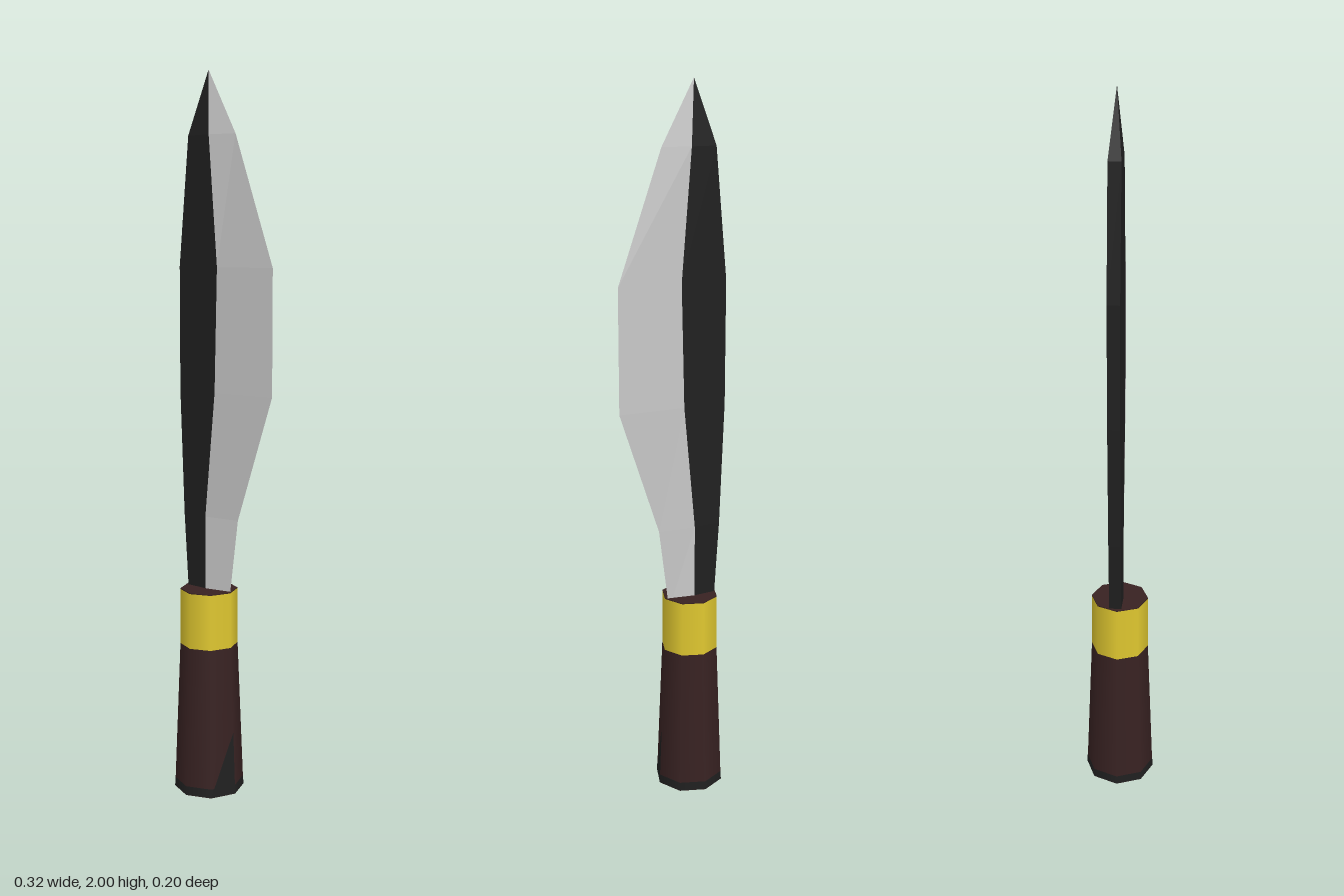
import * as THREE from 'three';

const mat = (name, color, side = THREE.FrontSide) => {
  const m = new THREE.MeshStandardMaterial({ color, side });
  m.name = name;
  return m;
};

export function createModel() {
  const steel = mat('pale steel', 0xc8c8c8);
  const black = mat('black', 0x202020);
  const brass = mat('yellow brass', 0xe0c830);
  const wood = mat('dark brown wood', 0x382222);

  const knife = new THREE.Group();
  knife.name = 'knife';
  const add = (name, geometry, material, y = 0) => {
    const mesh = new THREE.Mesh(geometry, material);
    mesh.name = name;
    mesh.position.y = y;
    knife.add(mesh);
    return mesh;
  };

  // Octagonal grip with a collar and a top plate
  add('grip', new THREE.CylinderGeometry(0.081, 0.098, 0.425, 8), wood, 0.2125);
  add('collar', new THREE.CylinderGeometry(0.08, 0.081, 0.157, 8), brass, 0.5035);
  add('collarTop', new THREE.CylinderGeometry(0.08, 0.08, 0.003, 8), wood, 0.583);

  // Dark trim round the foot of the grip, rising to a point on one facet
  add('footTrim', new THREE.CylinderGeometry(0.0975, 0.0985, 0.025, 8, 1, true), black, 0.0135);
  const wedge = new THREE.BufferGeometry();
  const r = 0.0985, d = r * Math.SQRT1_2;
  wedge.setAttribute('position', new THREE.Float32BufferAttribute(
    [d, 0.001, d, r, 0.001, 0, 0.0915, 0.18, 0], 3));
  wedge.computeVertexNormals();
  add('footWedge', wedge, black);

  // Blade stations: height, spine x, ridge x, edge x, half thickness
  const stations = [
    [0.55, -0.066, -0.003, 0.07, 0.017],
    [0.79, -0.082, -0.003, 0.102, 0.017],
    [1.14, -0.096, 0.032, 0.221, 0.017],
    [1.48, -0.096, 0.041, 0.221, 0.017],
    [1.83, -0.062, 0.012, 0.092, 0.017],
    [2.0, -0.003, -0.003, -0.003, 0],
  ];
  const zOff = -0.006;
  const ring = ([y, s, m, e, t]) => [
    [s, y, zOff - t], [s, y, zOff + t], [m, y, zOff + t], [e, y, zOff], [m, y, zOff - t],
  ];
  // Joins the chosen sides of successive cross-sections with flat facets
  const strips = (sides) => {
    const p = [];
    for (let i = 0; i < stations.length - 1; i++) {
      const lo = ring(stations[i]), hi = ring(stations[i + 1]);
      for (const k of sides) {
        const n = (k + 1) % 5;
        p.push(...lo[k], ...lo[n], ...hi[n]);
        if (i < stations.length - 2) p.push(...lo[k], ...hi[n], ...hi[k]);
      }
    }
    const g = new THREE.BufferGeometry();
    g.setAttribute('position', new THREE.Float32BufferAttribute(p, 3));
    g.computeVertexNormals();
    return g;
  };
  add('bladeSpine', strips([0, 1, 4]), black);
  add('bladeEdge', strips([2, 3]), steel);

  // The knife is turned very slightly about its grip
  knife.rotation.y = -0.05;
  knife.position.x = -0.062;
  const model = new THREE.Group();
  model.add(knife);
  return model;
}
